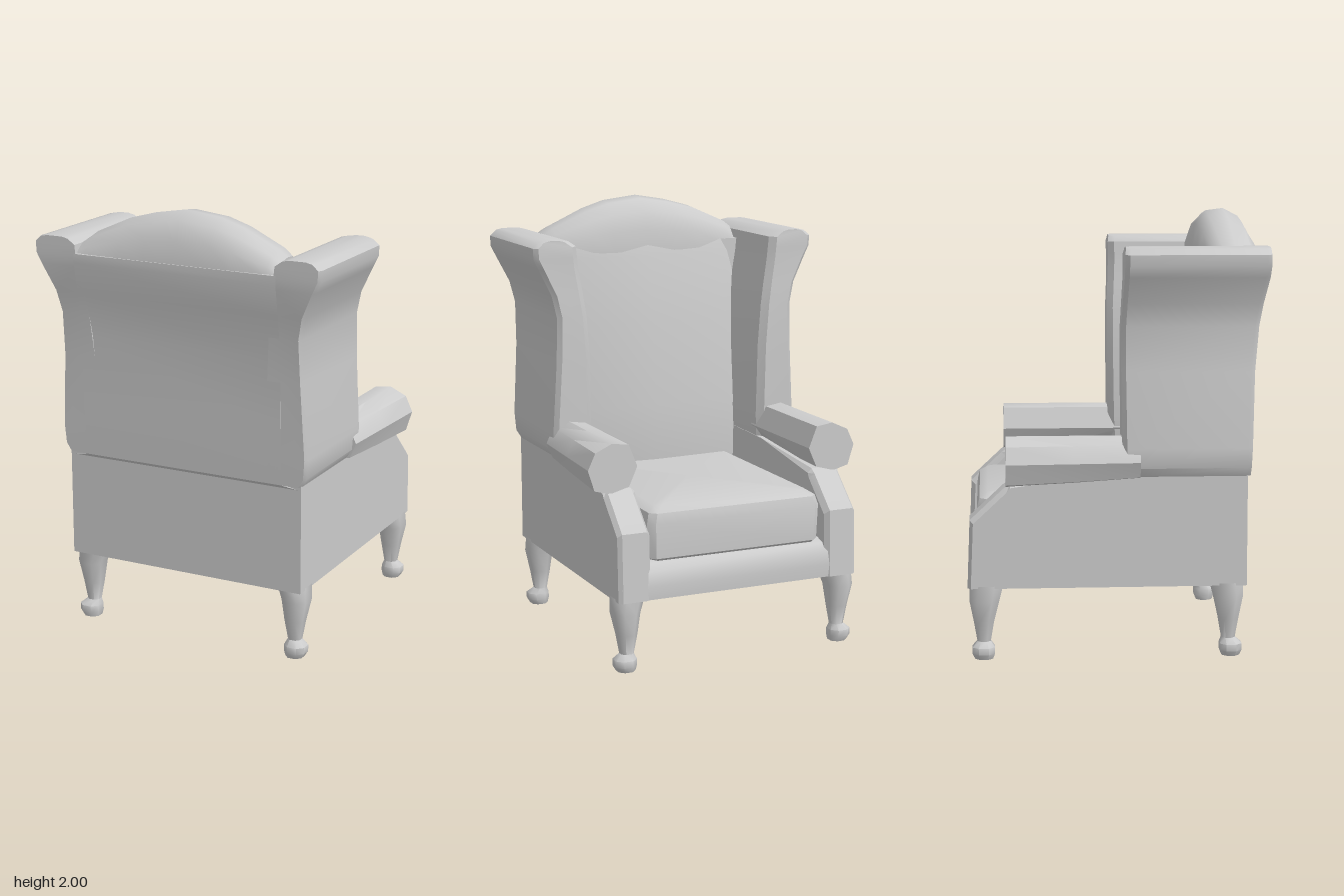
import * as THREE from 'three';
import { toCreasedNormals } from 'three/addons/utils/BufferGeometryUtils.js';

const material = new THREE.MeshStandardMaterial({ color: 0xcccccc });

// Joins rings of [x, y, z] points into a closed solid, turned outwards by its volume.
function loft(name, rings, crease = 0.6) {
  const n = rings[0].length;
  const tris = [];
  const centre = (ring) => [0, 1, 2].map((k) => ring.reduce((s, p) => s + p[k], 0) / n);
  for (let i = 0; i < rings.length - 1; i++) {
    for (let j = 0; j < n; j++) {
      const k = (j + 1) % n;
      const [a, b, c, d] = [rings[i][j], rings[i][k], rings[i + 1][k], rings[i + 1][j]];
      tris.push([a, b, c], [a, c, d]);
    }
  }
  const first = rings[0], last = rings[rings.length - 1];
  for (let j = 0; j < n; j++) {
    const k = (j + 1) % n;
    tris.push([centre(first), first[k], first[j]], [centre(last), last[j], last[k]]);
  }
  let volume = 0;
  const [A, B, C] = [new THREE.Vector3(), new THREE.Vector3(), new THREE.Vector3()];
  for (const [a, b, c] of tris) volume += A.set(...a).dot(B.set(...b).cross(C.set(...c)));
  if (volume < 0) tris.forEach((t) => t.reverse());
  const geometry = new THREE.BufferGeometry();
  geometry.setAttribute('position', new THREE.Float32BufferAttribute(tris.flat(2), 3));
  const mesh = new THREE.Mesh(toCreasedNormals(geometry, crease), material);
  mesh.name = name;
  return mesh;
}

// Horizontal rectangle with cut corners.
function cutRect(y, x0, x1, z0, z1, c) {
  return [
    [x0 + c, y, z0], [x1 - c, y, z0], [x1, y, z0 + c], [x1, y, z1 - c],
    [x1 - c, y, z1], [x0 + c, y, z1], [x0, y, z1 - c], [x0, y, z0 + c],
  ];
}

// Rear surface of the backrest, leaning out towards the top.
const rear = [[0.82, 0.595], [1.1, 0.605], [1.4, 0.61], [1.6, 0.64], [1.74, 0.665], [2, 0.66]];
function rearZ(y) {
  if (y < 0.82) return 0.582;
  const i = Math.max(1, rear.findIndex((r) => r[0] >= y));
  const [[y0, z0], [y1, z1]] = [rear[i - 1], rear[i]];
  return z0 + ((z1 - z0) * (y - y0)) / (y1 - y0);
}

function leg(s, front) {
  // y, centre x, centre z, half width, half depth
  const rows = front
    ? [[0, 0.535, -0.6, 0.04, 0.04], [0.025, 0.54, -0.602, 0.05, 0.05], [0.055, 0.54, -0.602, 0.05, 0.05],
      [0.08, 0.53, -0.6, 0.03, 0.03], [0.17, 0.53, -0.6, 0.045, 0.045],
      [0.27, 0.535, -0.597, 0.06, 0.067], [0.34, 0.52, -0.587, 0.07, 0.075]]
    : [[0, 0.535, 0.515, 0.04, 0.04], [0.025, 0.54, 0.515, 0.05, 0.05], [0.055, 0.54, 0.515, 0.05, 0.05],
      [0.08, 0.53, 0.505, 0.03, 0.03], [0.17, 0.53, 0.505, 0.045, 0.045],
      [0.27, 0.535, 0.503, 0.06, 0.065], [0.34, 0.52, 0.495, 0.07, 0.075]];
  return loft(front ? 'frontLeg' : 'backLeg', rows.map(([y, cx, cz, rx, rz]) =>
    cutRect(y, cx - rx, cx + rx, cz - rz, cz + rz, rx * 0.55).map(([x, h, z]) => [s * x, h, z])), 0.9);
}

// Side of the base, with the slanted front post.
function sidePanel(s) {
  const ring = (x, d) => [[0.582, 0.33], [0.582, 0.86], [0, 0.85], [-0.48, 0.8 - d],
    [-0.51 + d, 0.78 - d], [-0.66 + d, 0.64 - d], [-0.672 + d, 0.33]].map(([z, y]) => [s * x, y, z]);
  return loft('sidePanel', [ring(0.435, 0.02), ring(0.455, 0), ring(0.572, 0), ring(0.59, 0.015)], 0.3);
}

// Rolled arm: eight sides, a little wider towards the front.
function arm(s) {
  const section = [[0.47, 1.0], [0.55, 1.012], [0.63, 0.975], [0.665, 0.9],
    [0.635, 0.805], [0.56, 0.785], [0.47, 0.81], [0.43, 0.9]];
  const rows = [[-0.498, 0, 0], [-0.2, 0.015, 0.01], [0.1, 0.03, 0.025]];
  return loft('arm', rows.map(([z, inset, lift]) => section.map(([x, y]) =>
    [s * (x > 0.55 ? x - inset : x), y < 0.9 ? y + lift : y, z])), 0.7);
}

// Wing: sections stacked upwards, flaring into a roll at the top.
function wing(s) {
  const rows = [ // y, inner x, outer x, front z
    [0.83, 0.44, 0.59, 0.03], [0.87, 0.435, 0.615, 0.025], [0.96, 0.43, 0.622, 0.02], [1.3, 0.435, 0.603, 0.015],
    [1.5, 0.45, 0.6, 0.015], [1.6, 0.465, 0.622, 0.02], [1.72, 0.485, 0.68, 0.025],
    [1.77, 0.49, 0.705, 0.025], [1.82, 0.495, 0.708, 0.025], [1.845, 0.53, 0.68, 0.03], [1.852, 0.56, 0.65, 0.03],
  ];
  return loft('wing', rows.map(([y, xi, xo, zf]) => {
    const zb = rearZ(y);
    return [[xi + 0.03, y, zf], [xo - 0.02, y, zf], [xo, y, zf + 0.02], [xo, y, zb - 0.02],
      [xo - 0.01, y, zb], [xi, y, zb], [xi, y, zf + 0.03]].map(([x, h, z]) => [s * x, h, z]);
  }), 0.7);
}

export function createModel() {
  const chair = new THREE.Group();
  chair.name = 'wingChair';

  // Seat base with a rounded front rail
  const railProfile = [[0.58, 0.33], [0.58, 0.5], [-0.58, 0.5], [-0.63, 0.485], [-0.66, 0.45], [-0.668, 0.39], [-0.665, 0.33]];
  chair.add(loft('seatBase', [-0.575, 0.575].map((x) => railProfile.map(([z, y]) => [x, y, z])), 0.7));

  // Seat cushion
  const cushion = [[0.47, 0.03], [0.5, 0.005], [0.66, 0], [0.705, 0.012], [0.73, 0.05]];
  chair.add(loft('seatCushion', cushion.map(([y, d]) =>
    cutRect(y, -0.427 + d, 0.427 - d, -0.628 + d, 0.36, 0.03)), 0.6));

  // Backrest shell
  chair.add(loft('backShell', [0.33, 0.815, 0.83, 1.1, 1.4, 1.6, 1.74, 1.78].map((y) => {
    const w = y < 0.82 ? 0.575 : 0.5;
    return [[-w, y, 0.4], [w, y, 0.4], [w, y, rearZ(y)], [-w, y, rearZ(y)]];
  })));

  // Padded inner back, slightly bulging in the middle
  const padding = [[0.6, 0.28], [0.75, 0.265], [1.0, 0.265], [1.4, 0.31], [1.72, 0.355], [1.8, 0.38]];
  chair.add(loft('innerBack', padding.map(([y, z]) => [[-0.47, y, 0.5], [-0.47, y, z + 0.06], [-0.4, y, z + 0.025],
    [0, y, z], [0.4, y, z + 0.025], [0.47, y, z + 0.06], [0.47, y, 0.5]]), 0.7));

  // Arched crest across the top of the back
  const crest = [[-0.492, 1.835, 0.06], [-0.45, 1.865, 0.035], [-0.28, 1.94, 0.01], [-0.15, 1.975, 0], [0, 2, 0],
    [0.17, 1.98, 0], [0.28, 1.945, 0.01], [0.45, 1.865, 0.035], [0.492, 1.835, 0.06]]; // x, top y, front inset
  chair.add(loft('crest', crest.map(([x, top, d]) => {
    const h = top - 1.74;
    return [[0.37 + d, 0], [0.372 + d, 0.4], [0.4 + d, 0.74], [0.45 + d / 2, 0.96], [0.53, 1],
      [0.6, 0.86], [0.64, 0.55], [0.66, 0.15], [0.66, 0]].map(([z, t]) => [x, 1.74 + h * t, z]);
  }), 0.8));

  // Mirrored parts
  for (const s of [1, -1]) {
    chair.add(sidePanel(s), arm(s), wing(s), leg(s, true), leg(s, false));
  }
  return chair;
}
